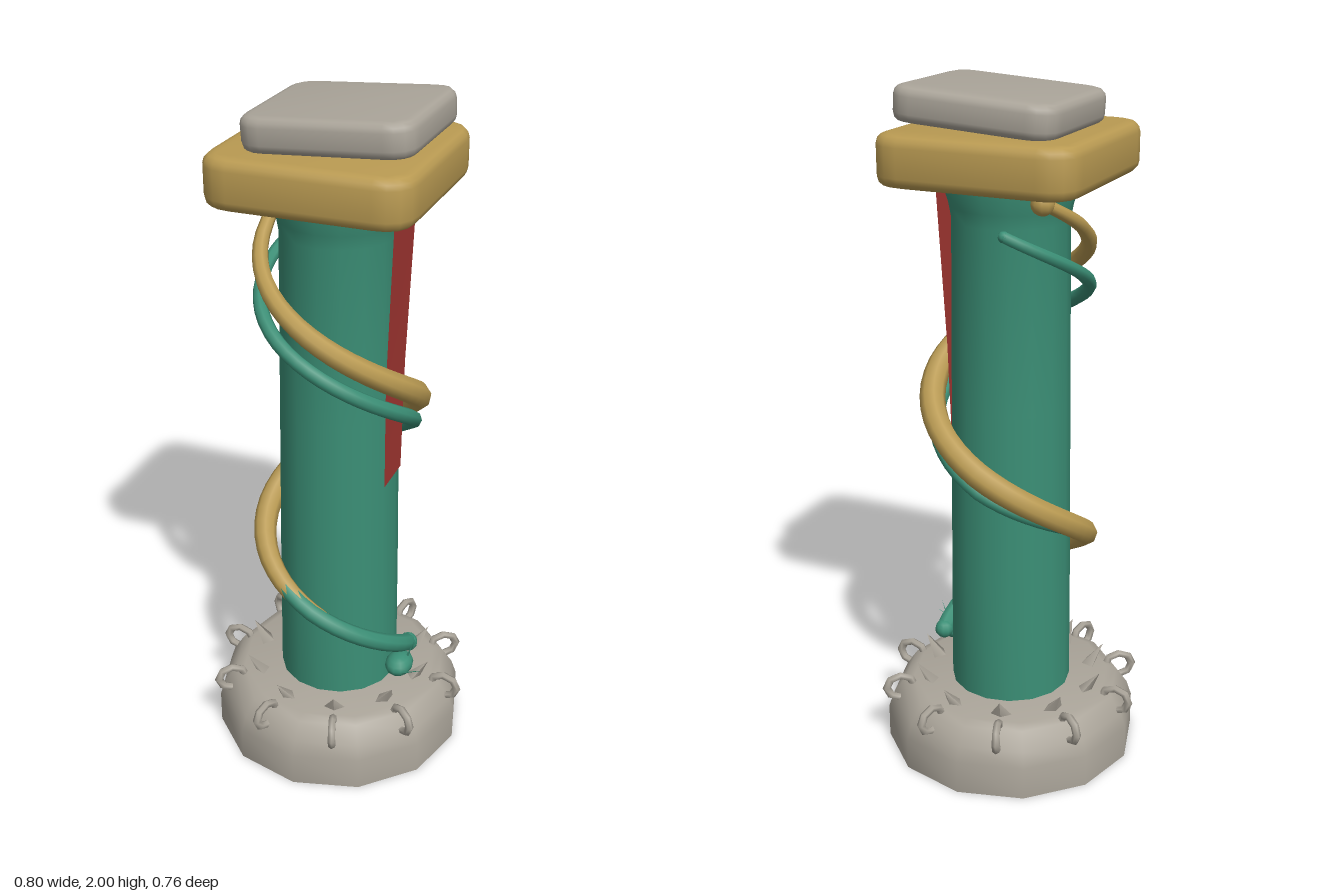
import * as THREE from 'three';
import { toCreasedNormals } from 'three/addons/utils/BufferGeometryUtils.js';

const material = (name, color, side = THREE.FrontSide) => {
  const m = new THREE.MeshStandardMaterial({ color, side });
  m.name = name;
  return m;
};

function part(parent, name, geometry, mat, x = 0, y = 0, z = 0) {
  const mesh = new THREE.Mesh(geometry, mat);
  mesh.name = name;
  mesh.position.set(x, y, z);
  parent.add(mesh);
  return mesh;
}

const lathe = (points, sides) => toCreasedNormals(
  new THREE.LatheGeometry(points.map(([r, y]) => new THREE.Vector2(r, y)), sides), 0.75);

// Square slab with rounded corners and softened rims, centred on its own origin
function slab(width, height, depth, corner, bevel) {
  const w = width / 2 - bevel, d = depth / 2 - bevel, c = corner;
  const s = new THREE.Shape();
  s.moveTo(-w + c, -d);
  s.lineTo(w - c, -d);
  s.quadraticCurveTo(w, -d, w, -d + c);
  s.lineTo(w, d - c);
  s.quadraticCurveTo(w, d, w - c, d);
  s.lineTo(-w + c, d);
  s.quadraticCurveTo(-w, d, -w, d - c);
  s.lineTo(-w, -d + c);
  s.quadraticCurveTo(-w, -d, -w + c, -d);
  const g = new THREE.ExtrudeGeometry(s, {
    depth: height - 2 * bevel, bevelEnabled: true, bevelSize: bevel,
    bevelThickness: bevel, bevelSegments: 3, curveSegments: 4,
  });
  g.center();
  g.rotateX(-Math.PI / 2);
  return toCreasedNormals(g, 0.8);
}

// Coil around the column; stops are [quarter turns from the front, height, distance, thickness]
function coil(stops, steps, sides = 8) {
  const at = (t) => {
    const f = t * (stops.length - 1);
    const i = Math.min(Math.floor(f), stops.length - 2);
    return stops[i].map((v, k) => THREE.MathUtils.lerp(v, stops[i + 1][k], f - i));
  };
  const points = [];
  for (let i = 0; i <= steps; i++) {
    const [q, y, r] = at(i / steps);
    const a = q * Math.PI / 2;
    points.push(new THREE.Vector3(r * Math.sin(a), y, r * Math.cos(a)));
  }
  const curve = new THREE.CatmullRomCurve3(points);
  curve.getPointAt = curve.getPoint;
  curve.getTangentAt = curve.getTangent;
  const g = new THREE.TubeGeometry(curve, steps, 1, sides);
  const p = g.attributes.position, v = new THREE.Vector3();
  for (let i = 0; i <= steps; i++) {
    const thickness = at(i / steps)[3];
    for (let j = 0; j <= sides; j++) {
      const k = i * (sides + 1) + j;
      v.fromBufferAttribute(p, k).sub(points[i]).multiplyScalar(thickness).add(points[i]);
      p.setXYZ(k, v.x, v.y, v.z);
    }
  }
  return { geometry: g, start: points[0], end: points[steps] };
}

export function createModel() {
  const model = new THREE.Group();
  model.name = 'column';
  const stone = material('stone grey', 0xaaa499);
  const green = material('sea green', 0x3b8f76);
  const gold = material('old gold', 0xb99a52);
  const red = material('banner red', 0xa23631, THREE.DoubleSide);

  // Foot and shaft
  part(model, 'base', lathe([[0, 0], [0.38, 0], [0.38, 0.1], [0.365, 0.145], [0.33, 0.195], [0.3, 0.205], [0, 0.205]], 12), stone);
  part(model, 'shaft', lathe([[0.18, 0.19], [0.177, 0.6], [0.171, 1.1], [0.165, 1.63], [0.172, 1.67], [0.184, 1.71], [0.186, 1.76]], 16), green);

  // Rings and leaning spikes around the foot
  const ringGeometry = new THREE.TorusGeometry(0.039, 0.012, 6, 8);
  ringGeometry.scale(1.1, 0.95, 1);
  const spikeGeometry = new THREE.ConeGeometry(0.042, 0.1, 4);
  spikeGeometry.scale(0.55, 1, 1);
  spikeGeometry.rotateZ(-0.6);
  const ornaments = new THREE.Group();
  ornaments.name = 'footOrnaments';
  for (let i = 0; i < 10; i++) {
    const arm = new THREE.Group();
    arm.name = 'ringAndSpike';
    arm.rotation.y = i * Math.PI / 5;
    part(arm, 'ring', ringGeometry, stone, 0.345, 0.188, 0);
    part(arm, 'spike', spikeGeometry, stone, 0.265, 0.225, 0);
    ornaments.add(arm);
  }
  model.add(ornaments);

  // Capital and tilted cap stone
  part(model, 'capital', slab(0.58, 0.14, 0.58, 0.065, 0.03), gold, 0, 1.81, 0);
  part(model, 'capStone', slab(0.478, 0.095, 0.43, 0.05, 0.025), stone, 0.03, 1.936, 0).rotation.z = 0.065;

  // Hanging banner on the left side, rows of [height, x, front z, back z]
  const rows = [[1.75, 0.19, 0.09, -0.085], [1.25, 0.18, 0.112, -0.045], [0.925, 0.182, 0.115, -0.02]];
  const banner = new THREE.PlaneGeometry(1, 1, 1, rows.length - 1);
  rows.forEach(([y, x, front, back], i) => {
    banner.attributes.position.setXYZ(2 * i, x, y, front);
    banner.attributes.position.setXYZ(2 * i + 1, x, y, back);
  });
  banner.computeVertexNormals();
  part(model, 'banner', banner, red);

  // Gold coil with a knob at its top
  const vine = coil([
    [-1.5, 1.715, 0.235, 0.016], [-1, 1.62, 0.215, 0.02], [0, 1.4, 0.22, 0.03], [1, 1.18, 0.225, 0.037],
    [2, 0.95, 0.228, 0.038], [3, 0.73, 0.225, 0.036], [4, 0.52, 0.22, 0.026], [5, 0.31, 0.215, 0.016],
  ], 70);
  part(model, 'goldCoil', vine.geometry, gold);
  part(model, 'goldCoilKnob', new THREE.SphereGeometry(0.033, 10, 8), gold, ...vine.start.toArray());
  part(model, 'goldCoilEnd', new THREE.SphereGeometry(0.016, 8, 6), gold, ...vine.end.toArray());

  // Green serpent coil, tail at the top and head at the foot
  const serpent = coil([
    [-1.78, 1.63, 0.235, 0.016], [-1, 1.49, 0.22, 0.019], [0, 1.3, 0.22, 0.022], [1, 1.1, 0.215, 0.023],
    [2, 0.89, 0.215, 0.023], [3, 0.73, 0.218, 0.022], [4, 0.522, 0.226, 0.026], [5.05, 0.31, 0.222, 0.027],
  ], 70);
  part(model, 'serpentBody', serpent.geometry, green);
  part(model, 'serpentTailTip', new THREE.SphereGeometry(0.016, 8, 6), green, ...serpent.start.toArray());
  part(model, 'serpentNeck', new THREE.SphereGeometry(0.029, 10, 8), green, ...serpent.end.toArray());
  const head = part(model, 'serpentHead', new THREE.SphereGeometry(1, 12, 8), green, 0.22, 0.283, 0.06);
  head.scale.set(0.042, 0.034, 0.054);

  // Fine crest hairs and tongue
  const hair = new THREE.ConeGeometry(0.004, 0.08, 4);
  for (const [x, y, z, tilt] of [[0.25, 0.33, 0.05, -0.35], [0.2, 0.33, 0.05, 0.4], [0.27, 0.29, 0.1, -1.2]]) {
    part(model, 'crestHair', hair, green, x, y, z).rotation.z = tilt;
  }
  return model;
}
